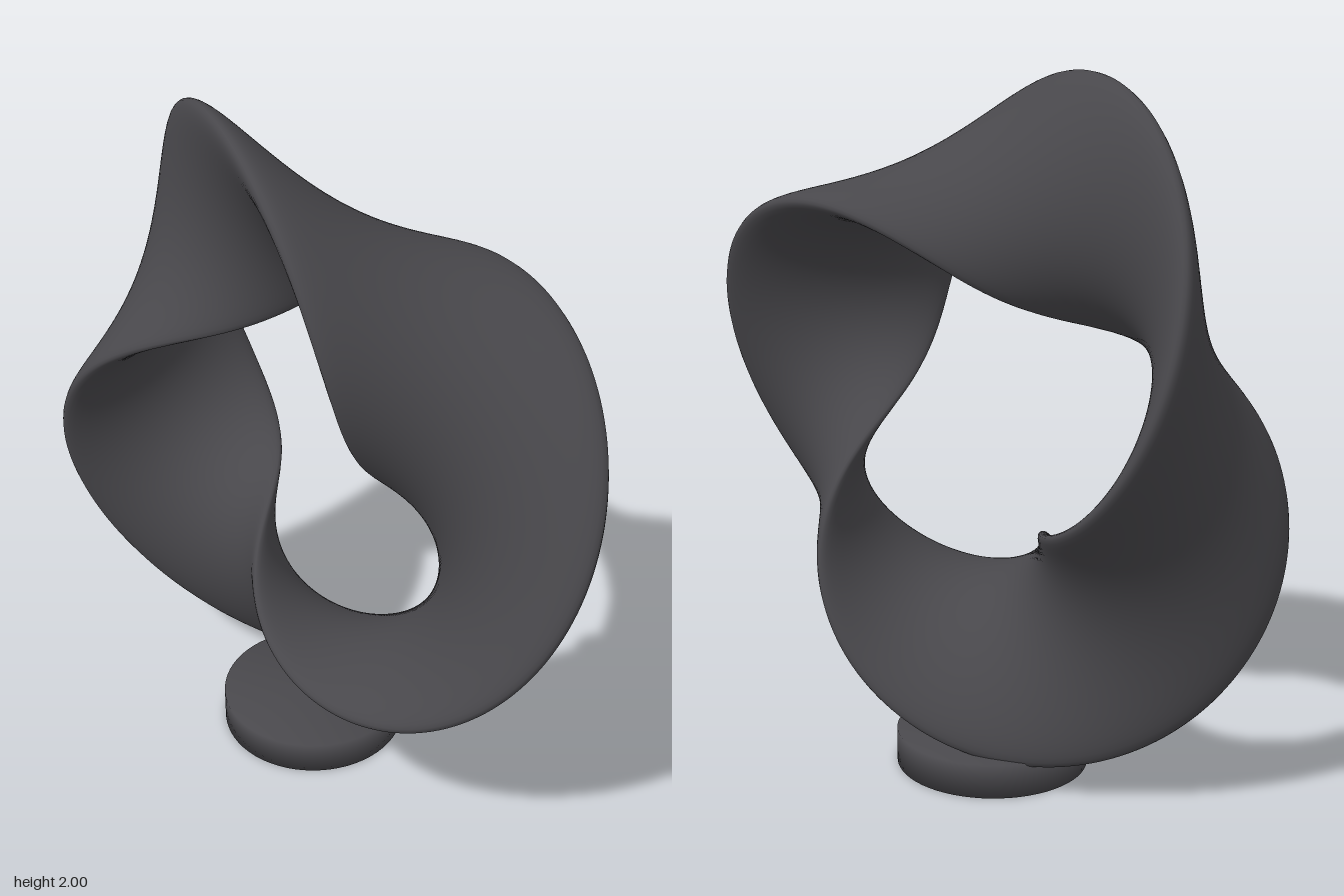
import * as THREE from 'three';
import { mergeVertices } from 'three/addons/utils/BufferGeometryUtils.js';

const CENTER_X = -0.105, CENTER_Y = 1.045;

// Closed ring with a thin elliptical section making three half twists per lap
function twistedBand(radius, halfWidth, halfThickness, steps, sides) {
  const positions = [], index = [];
  for (let i = 0; i < steps; i++) {
    const u = (i / steps) * Math.PI * 2;
    const c = Math.cos(u * 1.5), s = Math.sin(u * 1.5);
    for (let j = 0; j < sides; j++) {
      const v = (j / sides) * Math.PI * 2;
      const a = halfWidth * Math.cos(v), b = halfThickness * Math.sin(v);
      const r = radius + a * c - b * s;
      positions.push(r * Math.cos(u), r * Math.sin(u), -(a * s + b * c));
    }
  }
  // the last ring joins the first one turned by half a revolution
  const at = (i, j) => i === steps
    ? (j + sides / 2) % sides
    : i * sides + (j % sides);
  for (let i = 0; i < steps; i++) {
    for (let j = 0; j < sides; j++) {
      const p = at(i, j), q = at(i, j + 1), r = at(i + 1, j), t = at(i + 1, j + 1);
      index.push(p, q, r, q, t, r);
    }
  }
  const geometry = new THREE.BufferGeometry();
  geometry.setAttribute('position', new THREE.Float32BufferAttribute(positions, 3));
  geometry.setIndex(index);
  geometry.computeVertexNormals();
  return geometry;
}

// Disc whose rim normals blend softly into the caps
function softDisc(radius, height) {
  const disc = new THREE.CylinderGeometry(radius, radius, height, 64);
  disc.deleteAttribute('normal');
  disc.deleteAttribute('uv');
  const geometry = mergeVertices(disc);
  geometry.computeVertexNormals();
  return geometry;
}

export function createModel() {
  const group = new THREE.Group();
  group.name = 'twistedRingSculpture';
  const charcoal = new THREE.MeshStandardMaterial({ color: 0x48474b });
  charcoal.name = 'charcoal';

  const band = new THREE.Mesh(twistedBand(0.685, 0.33, 0.08, 256, 48), charcoal);
  band.name = 'twistedBand';
  band.position.set(CENTER_X, CENTER_Y, 0);

  const base = new THREE.Mesh(softDisc(0.28, 0.1), charcoal);
  base.name = 'base';
  base.position.set(CENTER_X, 0.05, 0);

  group.add(band, base);
  return group;
}
